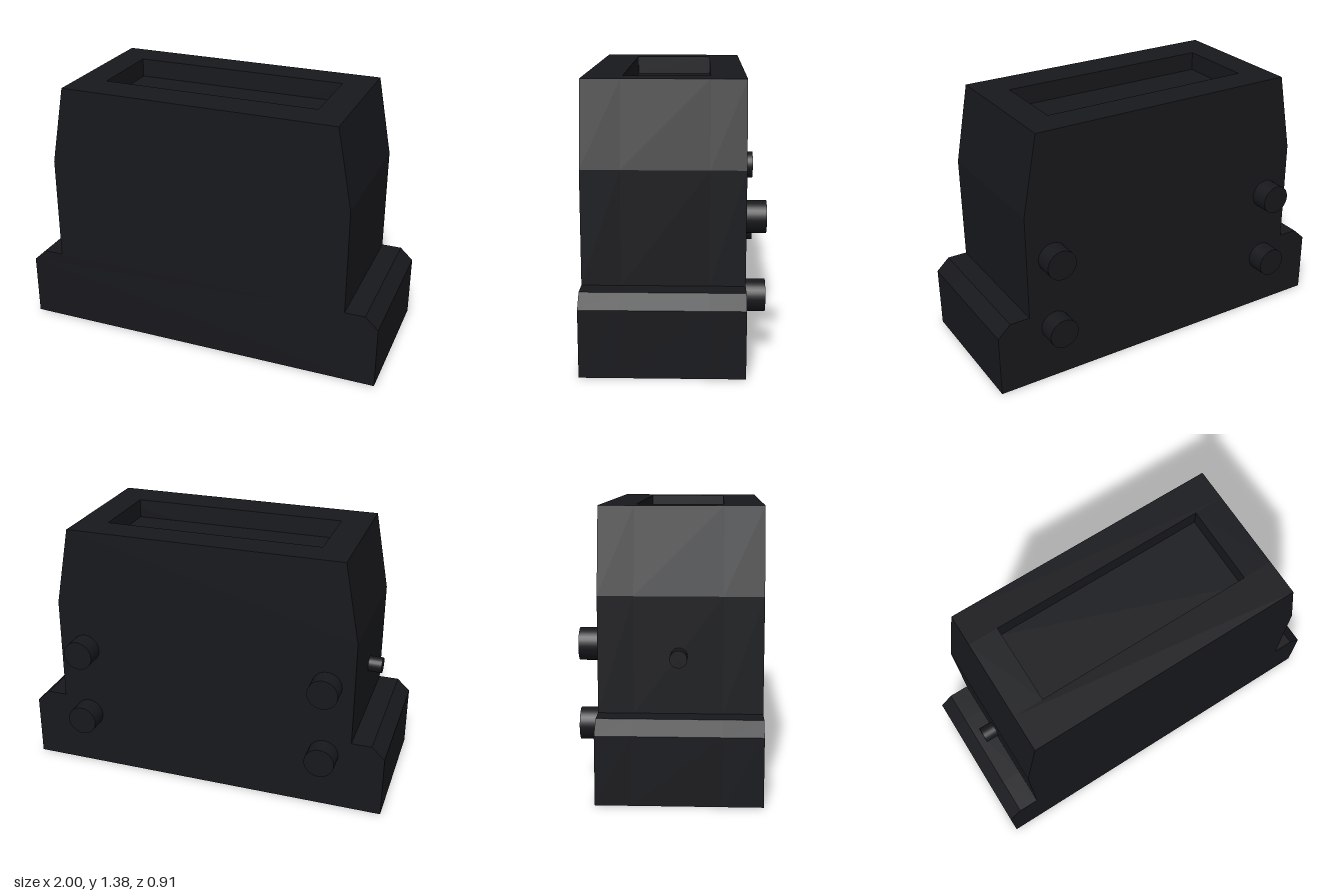
import * as THREE from 'three';

const material = new THREE.MeshStandardMaterial({ color: 0x17181c });

function add(parent, name, geometry, x = 0, y = 0, z = 0) {
  const mesh = new THREE.Mesh(geometry, material);
  mesh.name = name;
  mesh.position.set(x, y, z);
  parent.add(mesh);
  return mesh;
}

// Front outline of the housing, optionally notched by the top recess
const HALF = [[0.995, 0], [0.995, 0.335], [0.925, 0.4], [0.818, 0.4], [0.818, 0.965], [0.738, 1.385]];
const RECESS = { x: 0.58, floor: 1.285, back: -0.175, front: 0.25 };

function outline(notched) {
  const notch = [[RECESS.x, 1.385], [RECESS.x, RECESS.floor]];
  const right = notched ? [...HALF, ...notch] : HALF;
  const left = right.map(([x, y]) => [-x, y]).reverse();
  return new THREE.Shape([...right, ...left].map(([x, y]) => new THREE.Vector2(x, y)));
}

export function createModel() {
  const group = new THREE.Group();
  group.name = 'model';
  const unit = new THREE.Group();
  unit.name = 'toaster';
  unit.rotation.y = -0.012;
  group.add(unit);

  // Housing: solid back and front slabs with the recessed slab between them
  const back = -0.3475, front = 0.4425;
  const slabs = [
    ['housingBack', back, RECESS.back, false],
    ['housingMiddle', RECESS.back, RECESS.front, true],
    ['housingFront', RECESS.front, front, false],
  ];
  for (const [name, z0, z1, notched] of slabs) {
    const geometry = new THREE.ExtrudeGeometry(outline(notched), { depth: z1 - z0, bevelEnabled: false });
    add(unit, name, geometry, 0, 0, z0);
  }

  // Four round posts on the back
  const post = new THREE.CylinderGeometry(0.08, 0.08, 0.12, 32).rotateX(Math.PI / 2);
  for (const x of [-0.673, 0.673]) {
    for (const y of [0.31, 0.71]) add(unit, 'backPost', post, x, y, back - 0.04);
  }

  // Small button on the right side
  const button = new THREE.CylinderGeometry(0.042, 0.042, 0.09, 24).rotateZ(Math.PI / 2);
  add(unit, 'sideButton', button, -0.845, 0.678, 0.04);

  return group;
}
